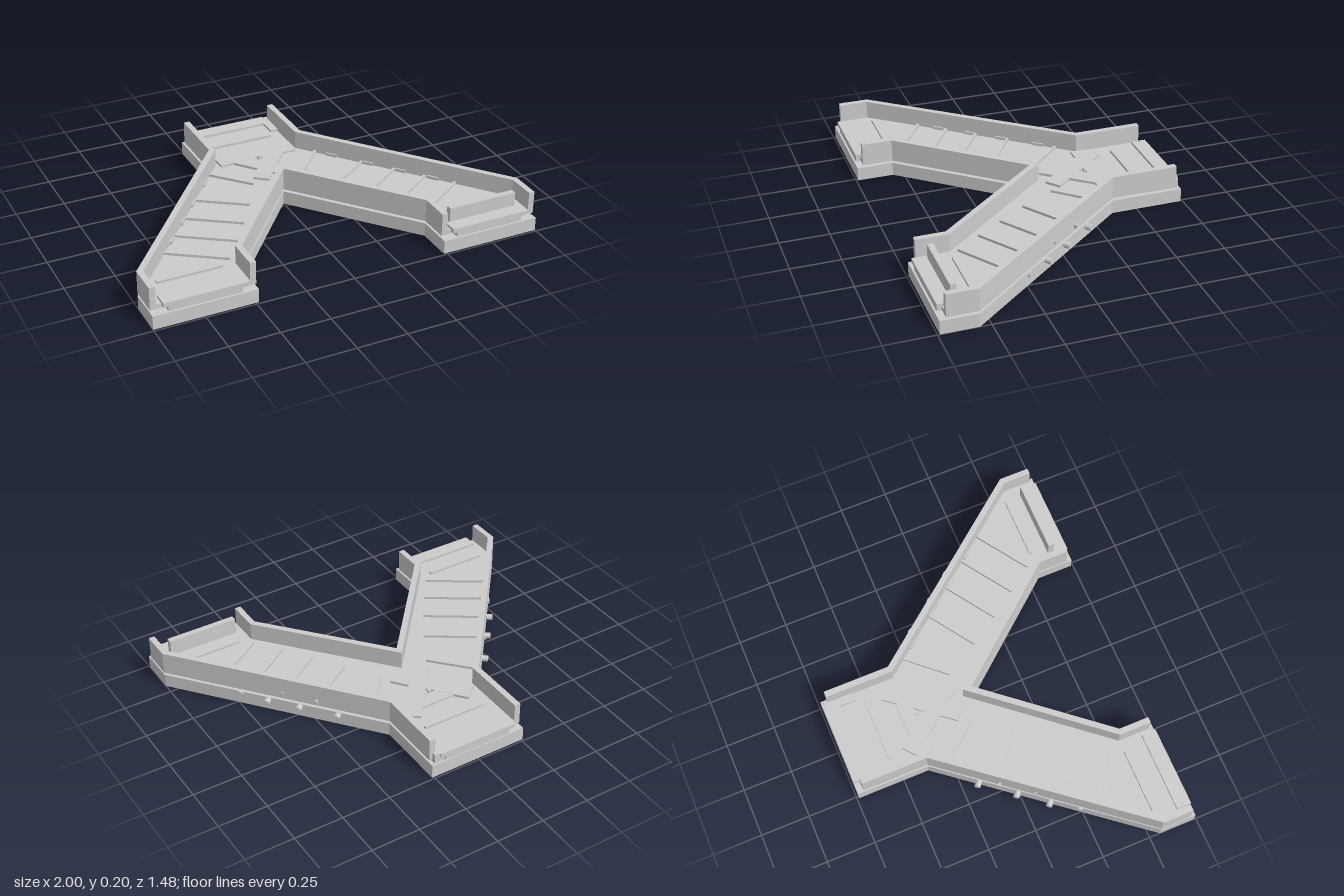
import * as THREE from 'three';

const material = new THREE.MeshStandardMaterial({ color: 0xcccccc, flatShading: true });

export function createModel() {
  const model = new THREE.Group();

  const add = (name, geometry) => {
    const mesh = new THREE.Mesh(geometry, material);
    mesh.name = name;
    model.add(mesh);
    return mesh;
  };

  // Plan outline of [x, z] points raised from y0 to y1
  const slab = (name, points, y0, y1) => {
    const shape = new THREE.Shape(points.map(([x, z]) => new THREE.Vector2(x, -z)));
    const geometry = new THREE.ExtrudeGeometry(shape, { depth: y1 - y0, bevelEnabled: false });
    return add(name, geometry.rotateX(-Math.PI / 2).translate(0, y0, 0));
  };

  // Completes a half outline whose last point lies on x = 0
  const mirrored = (half) => [...half, ...half.slice(0, -1).reverse().map(([x, z]) => [-x, z])];

  // Box given by its limits on each axis
  const block = (name, x0, x1, y0, y1, z0, z1) =>
    add(name, new THREE.BoxGeometry(x1 - x0, y1 - y0, z1 - z0)
      .translate((x0 + x1) / 2, (y0 + y1) / 2, (z0 + z1) / 2));

  // Flat bar lying on the floor between two plan points
  const bar = (name, [xa, za], [xb, zb], width, y0, y1) => {
    const mesh = add(name, new THREE.BoxGeometry(Math.hypot(xb - xa, zb - za), y1 - y0, width));
    mesh.position.set((xa + xb) / 2, (y0 + y1) / 2, (za + zb) / 2);
    mesh.rotation.y = -Math.atan2(zb - za, xb - xa);
    return mesh;
  };

  // Forked base slab
  slab('base', mirrored([[0.26, -0.74], [0.26, -0.37], [1, 0.555], [1, 0.74],
    [0.485, 0.74], [0.485, 0.555], [0, -0.025]]), 0, 0.07);
  // Raised walkway floor between the walls
  slab('floor', mirrored([[0.24, -0.71], [0.24, -0.365], [0.985, 0.56], [0.985, 0.71],
    [0.5, 0.71], [0.5, 0.55], [0, -0.05]]), 0.084, 0.107);
  // Thin spacer between base and floor
  slab('spacer', mirrored([[0.17, -0.44], [0.22, -0.35], [0.9, 0.57], [0.58, 0.57], [0, -0.08]]), 0.068, 0.076);

  // Inner V wall
  const innerFront = [[0.485, 0.71], [0.485, 0.555], [0, -0.025], [-0.485, 0.555], [-0.485, 0.71]];
  const innerBack = [[-0.515, 0.71], [-0.515, 0.545], [0, -0.072], [0.515, 0.545], [0.515, 0.71]];
  slab('innerWall', [...innerFront, ...innerBack], 0.083, 0.2);

  const outerWall = [[0.257, -0.71], [0.257, -0.37], [1, 0.555], [1, 0.71],
    [0.97, 0.71], [0.97, 0.565], [0.226, -0.36], [0.226, -0.71]];
  const normal = new THREE.Vector3(0.93, 0, -0.74).normalize();

  // Floor ribs along each arm: centre x, centre z, angle in degrees, half length
  const ribs = [[0.225, -0.19, 48, 0.135], [0.37, 0, 34, 0.16], [0.47, 0.148, 34, 0.165],
    [0.565, 0.285, 34, 0.165], [0.66, 0.415, 34, 0.165], [0.745, 0.55, 0, 0.162]];

  for (const side of [-1, 1]) {
    slab('outerWall', outerWall.map(([x, z]) => [side * x, z]), 0.083, 0.2);

    for (const [x, z, degrees, reach] of ribs) {
      const a = THREE.MathUtils.degToRad(degrees);
      const dx = Math.cos(a) * reach, dz = Math.sin(a) * reach;
      bar('floorRib', [side * (x - dx), z + dz], [side * (x + dx), z - dz], 0.013, 0.1, 0.12);
    }

    // Round pegs on the outer edge of the base
    for (const z of [-0.165, -0.01, 0.12, 0.235]) {
      const x = 0.26 + (z + 0.37) * 0.8;
      const peg = add('sidePeg', new THREE.CylinderGeometry(0.016, 0.016, 0.05, 12));
      const out = new THREE.Vector3(side * normal.x, 0, normal.z);
      peg.quaternion.setFromUnitVectors(new THREE.Vector3(0, 1, 0), out);
      peg.position.set(side * x, 0.056, z).addScaledVector(out, z > 0.2 ? -0.017 : 0.007);
    }

    // Small clips along the foot of the outer wall
    for (const z of [-0.2, -0.04, 0.1, 0.24]) {
      const x = 0.225 + (z + 0.37) * 0.8;
      bar('wallClip', [side * (x - 0.018), z - 0.023], [side * (x + 0.018), z + 0.023], 0.025, 0.1, 0.122);
    }

    // Crossing diagonal planks at the fork
    bar('crossPlank', [side * -0.17, -0.43], [side * 0.08, -0.12], 0.085, 0.1, 0.12);
    // Front step: narrow foot under a wider tread
    const c = side * 0.74;
    block('stepFoot', c - 0.18, c + 0.18, 0.068, 0.097, 0.66, 0.73);
    block('stepTread', c - 0.205, c + 0.205, 0.097, 0.12, 0.66, 0.735);
  }

  // Fork plate, back rib and back step
  block('forkPlate', -0.21, 0.21, 0.1, 0.119, -0.4, -0.325);
  block('backRib', -0.165, 0.165, 0.1, 0.12, -0.537, -0.525);
  block('backStepFoot', -0.18, 0.18, 0.068, 0.097, -0.735, -0.665);
  block('backStepTread', -0.21, 0.21, 0.097, 0.12, -0.74, -0.665);
  block('backSill', 0.185, 0.24, 0.068, 0.12, -0.73, -0.575);

  // Upright plate behind the left arm's step
  block('uprightPlate', 0.555, 0.92, 0.1, 0.192, 0.635, 0.665);

  // Centre pin
  add('centrePin', new THREE.CylinderGeometry(0.009, 0.009, 0.02, 10).translate(0, 0.121, -0.32));

  return model;
}
